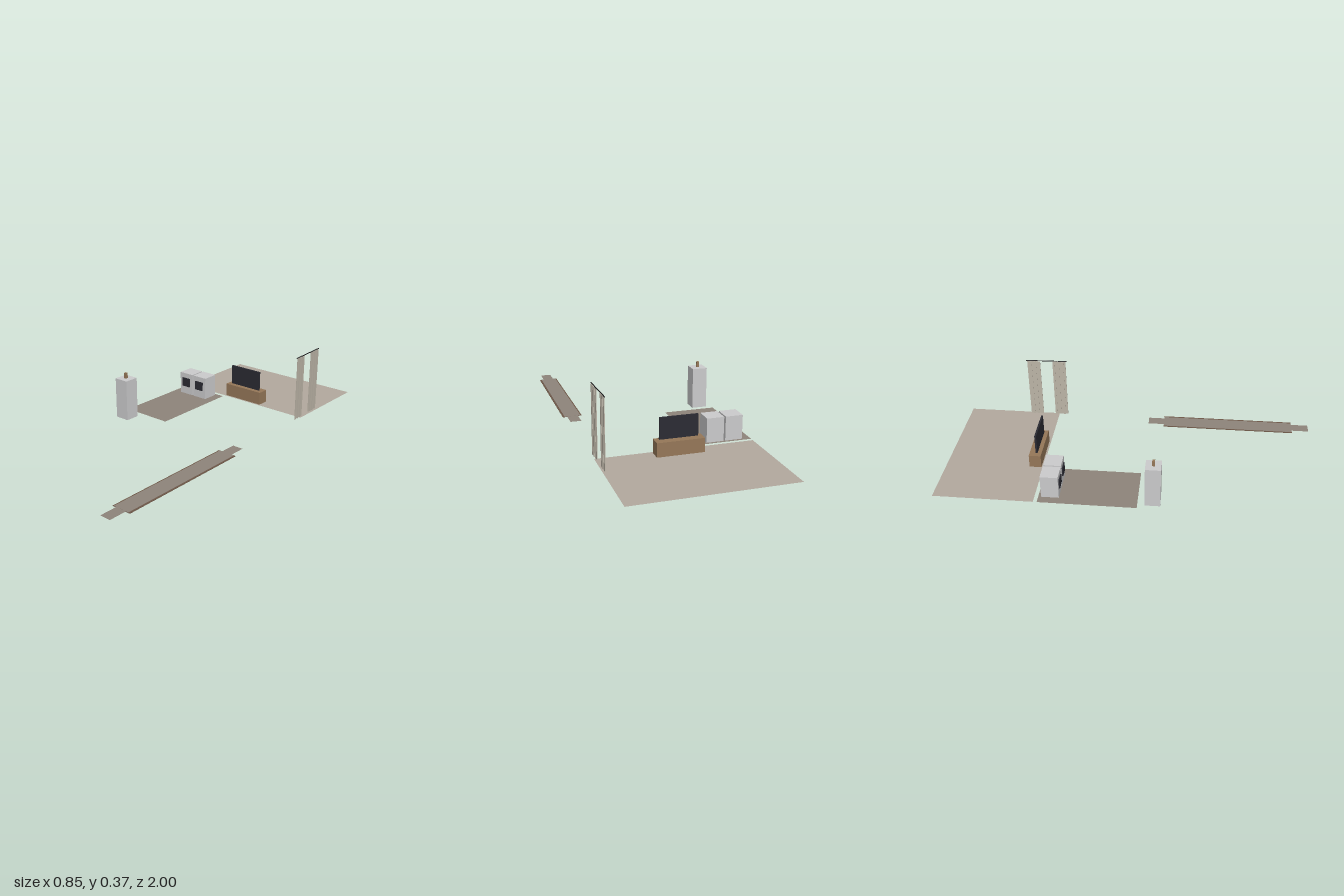
import * as THREE from 'three';

const material = (name, color) => {
  const m = new THREE.MeshStandardMaterial({ color });
  m.name = name;
  return m;
};

export function createModel() {
  const model = new THREE.Group();
  model.name = 'apartmentFurniture';
  const paleFloor = material('paleFloor', 0xb3aa9f);
  const taupeFloor = material('taupeFloor', 0x8f857b);
  paleFloor.side = taupeFloor.side = THREE.DoubleSide;
  const rugBrown = material('rugBrown', 0x6e5848);
  const wood = material('wood', 0x967859);
  const appliance = material('applianceGrey', 0xcccccd);
  const dark = material('darkGlass', 0x2b2b33);
  const cloth = material('curtainCloth', 0xbdb6a8);
  const black = material('rodBlack', 0x1c1c1e);

  // Box given by its limits on each axis
  const box = (name, mat, [x0, x1], [y0, y1], [z0, z1], parent = model) => {
    const mesh = new THREE.Mesh(new THREE.BoxGeometry(x1 - x0, y1 - y0, z1 - z0), mat);
    mesh.position.set((x0 + x1) / 2, (y0 + y1) / 2, (z0 + z1) / 2);
    mesh.name = name;
    parent.add(mesh);
    return mesh;
  };
  // Flat floor sheet
  const floor = (name, mat, [x0, x1], [z0, z1]) => {
    const mesh = new THREE.Mesh(new THREE.PlaneGeometry(x1 - x0, z1 - z0).rotateX(-Math.PI / 2), mat);
    mesh.position.set((x0 + x1) / 2, 0.0025, (z0 + z1) / 2);
    mesh.name = name;
    model.add(mesh);
  };

  // Floors
  floor('livingFloor', paleFloor, [-0.425, 0.4], [-1, -0.47]);
  floor('kitchenFloor', taupeFloor, [-0.425, -0.138], [-0.45, 0.065]);
  floor('hallFloor', taupeFloor, [0.34, 0.4], [0.07, 1]);

  // Rugs: one beneath the living floor, one along the hall with a lighter field
  box('livingRug', rugBrown, [-0.185, 0.17], [0, 0.0018], [-0.905, -0.63]);
  box('hallRunner', rugBrown, [0.318, 0.424], [0, 0.002], [0.16, 0.905]);
  box('hallRunnerField', taupeFloor, [0.325, 0.414], [0.002, 0.003], [0.16, 0.905]);

  // Television on its stand
  box('televisionStand', wood, [-0.135, 0.11], [0, 0.076], [-0.545, -0.48]);
  box('television', dark, [-0.112, 0.087], [0.079, 0.191], [-0.511, -0.501]);

  // Pair of appliances with dark door windows
  for (const x of [-0.335, -0.234]) {
    const unit = new THREE.Group();
    unit.name = 'washer';
    model.add(unit);
    box('washerBody', appliance, [x - 0.046, x + 0.046], [0, 0.131], [-0.435, -0.342], unit);
    box('washerWindow', dark, [x - 0.027, x + 0.027], [0.05, 0.102], [-0.342, -0.336], unit);
  }

  // Tall cabinet with a small wooden block on top
  box('tallCabinet', appliance, [-0.398, -0.315], [0, 0.229], [0.102, 0.183]);
  box('woodBlock', wood, [-0.364, -0.35], [0.229, 0.26], [0.136, 0.15]);

  // Curtains: two pleated panels hanging from a rod
  const curtains = new THREE.Group();
  curtains.name = 'curtains';
  curtains.position.set(0.39, 0, -0.528);
  curtains.rotation.y = 0.03;
  model.add(curtains);
  const pleats = 6, width = 0.0125;
  for (const side of [-1, 1]) {
    for (let i = 0; i < pleats; i++) {
      const z = side * (0.073 + (i - (pleats - 1) / 2) * width);
      const x = i % 2 ? 0.0015 : -0.0015;
      box('curtainPleat', cloth, [x - 0.002, x + 0.002], [0.006, 0.361],
        [z - width / 2, z + width / 2], curtains);
    }
  }
  const rod = new THREE.Mesh(new THREE.CylinderGeometry(0.0025, 0.0025, 0.232, 10).rotateX(Math.PI / 2), black);
  rod.position.y = 0.365;
  rod.name = 'curtainRod';
  curtains.add(rod);

  return model;
}
